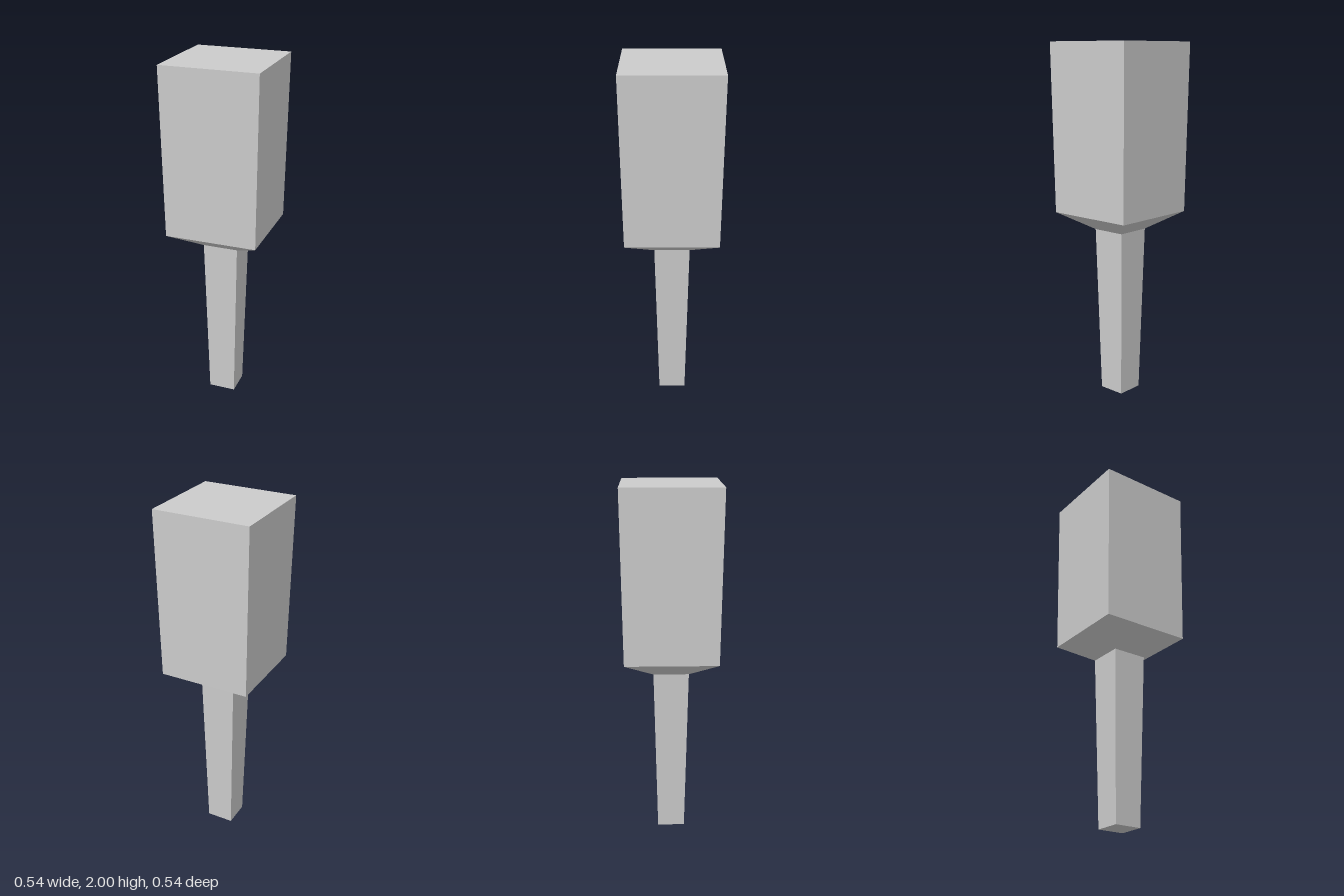
import * as THREE from 'three';

const material = new THREE.MeshStandardMaterial({ color: 0xcccccc, flatShading: true });

// Four-sided solid from [half width, height] pairs, listed bottom to top
function squareSection(name, profile) {
  const points = profile.map(([half, y]) => new THREE.Vector2(half * Math.SQRT2, y));
  const mesh = new THREE.Mesh(new THREE.LatheGeometry(points, 4, Math.PI / 4), material);
  mesh.name = name;
  return mesh;
}

export function createModel() {
  const model = new THREE.Group();
  model.name = 'mallet';
  model.add(
    // Tapered grip, closed at the bottom
    squareSection('handle', [[0, 0], [0.077, 0], [0.099, 0.96]]),
    // Flare joining the grip to the head
    squareSection('collar', [[0.099, 0.96], [0.257, 1.06]]),
    // Slightly widening block, closed at the top
    squareSection('head', [[0.257, 1.06], [0.269, 2], [0, 2]]),
  );
  return model;
}
